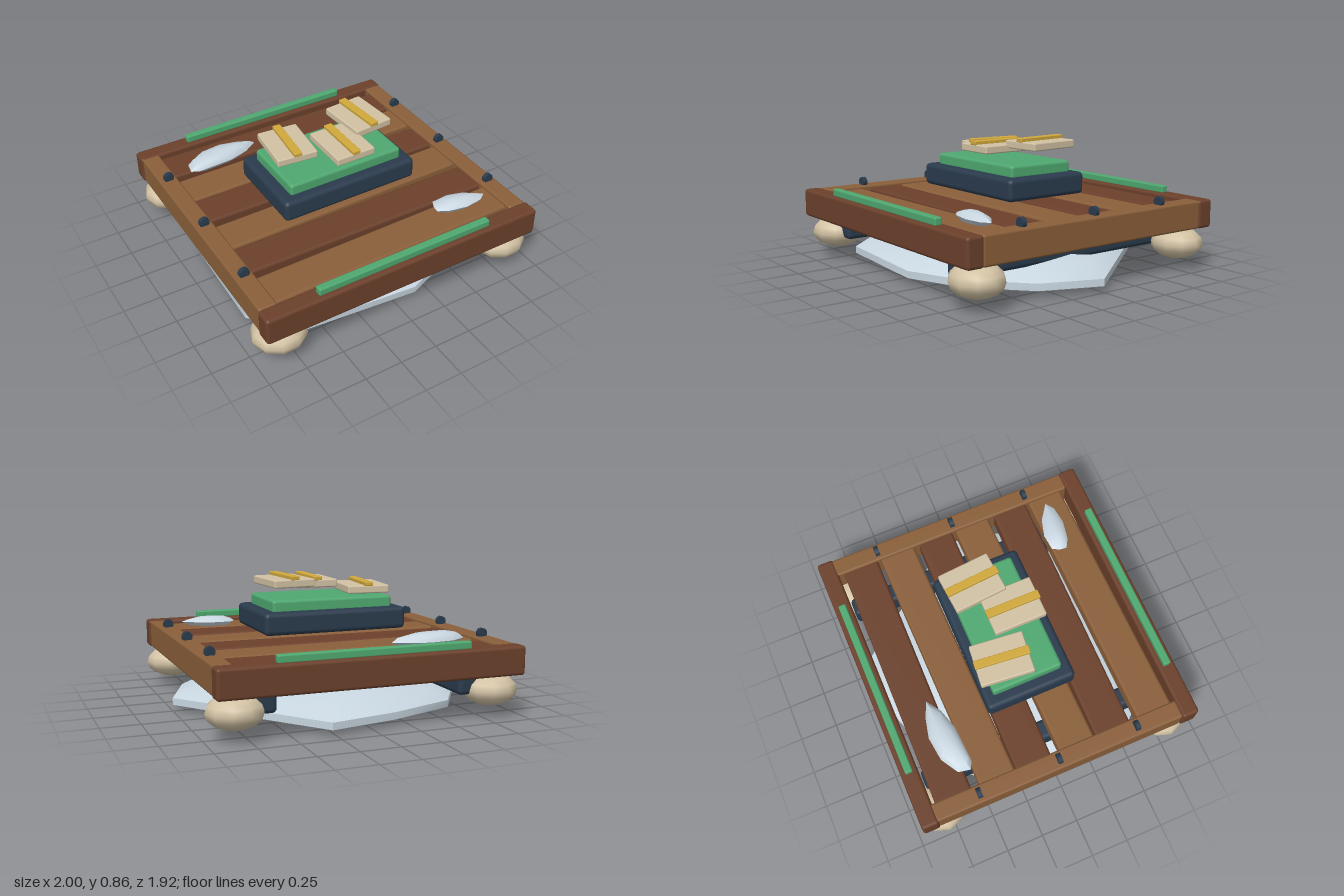
import * as THREE from 'three';
import { RoundedBoxGeometry } from 'three/addons/geometries/RoundedBoxGeometry.js';
import { toCreasedNormals } from 'three/addons/utils/BufferGeometryUtils.js';

const paint = (color) => new THREE.MeshStandardMaterial({ color });
const darkWood = paint(0x6b402b), lightWood = paint(0x8a5f3a), navy = paint(0x2a3b4d);
const green = paint(0x4fa870), cream = paint(0xd2c2a4), gold = paint(0xd0a83c), ice = paint(0xc8d6e0);

export function createModel() {
  const model = new THREE.Group();

  const add = (name, geometry, material, x = 0, y = 0, z = 0, parent = model) => {
    const mesh = new THREE.Mesh(geometry, material);
    mesh.name = name;
    mesh.position.set(x, y, z);
    parent.add(mesh);
    return mesh;
  };

  // Softened box given by its size, vertical span and centre
  const box = (name, material, w, d, y0, y1, x, z, r = 0.015, parent = model) =>
    add(name, new RoundedBoxGeometry(w, y1 - y0, d, 2, r), material, x, (y0 + y1) / 2, z, parent);

  // Outline [x, z] stacked in rings of [scale, y], from bottom centre to top centre
  const stacked = (name, outline, rings) => {
    const n = outline.length;
    const cx = outline.reduce((s, p) => s + p[0], 0) / n;
    const cz = outline.reduce((s, p) => s + p[1], 0) / n;
    const positions = [], index = [];
    for (const [s, y] of rings)
      for (const [x, z] of outline) positions.push(cx + (x - cx) * s, y, cz + (z - cz) * s);
    for (let i = 0; i < rings.length - 1; i++)
      for (let j = 0; j < n; j++) {
        const a = i * n + j, b = i * n + (j + 1) % n;
        if (rings[i][0] > 0) index.push(a, b, b + n);
        if (rings[i + 1][0] > 0) index.push(a, b + n, a + n);
      }
    const g = new THREE.BufferGeometry();
    g.setAttribute('position', new THREE.Float32BufferAttribute(positions, 3));
    g.setIndex(index);
    return add(name, toCreasedNormals(g, 0.7), ice);
  };

  // Frame beams, green rails, runners, feet and pegs
  const foot = new THREE.SphereGeometry(1, 10, 8);
  const peg = new THREE.CylinderGeometry(0.034, 0.034, 0.03, 10).rotateX(Math.PI / 2);
  for (const s of [-1, 1]) {
    box('endBeam', darkWood, 1.95, 0.115, 0.27, 0.455, -0.005, s * 0.905, 0.02);
    box('endRail', green, 1.23, 0.05, 0.45, 0.5, -0.005, s * 0.905, 0.01);
    box('sideBeam', lightWood, 0.12, 1.71, 0.27, 0.453, s * 0.905 - 0.005, -0.005, 0.015);
    box('runner', navy, 0.13, 1.68, 0.145, 0.31, s * 0.65 - 0.005, 0, 0.03);
    for (const t of [-1, 1])
      add('foot', foot, cream, s * 0.823, 0.17, t * 0.798).scale.set(0.177, 0.105, 0.165);
    for (const z of [-0.55, 0, 0.545]) add('peg', peg, navy, s * 0.903 - 0.005, 0.473, z);
  }

  // Deck planks, laid slightly uneven
  [-0.697, -0.413, -0.147, 0.14, 0.41, 0.692].forEach((z, i) => {
    const plank = box('plank', i % 2 ? lightWood : darkWood, 1.72, 0.245, 0.31, 0.435, -0.005, z, 0.02);
    plank.rotation.y = i % 2 ? 0.01 : -0.01;
  });

  // Case with cushion
  box('case', navy, 0.96, 0.6, 0.492, 0.635, -0.005, 0, 0.03);
  box('cushion', green, 0.815, 0.47, 0.62, 0.706, -0.003, -0.003, 0.02);

  // Strapped packets: x, z, base height, turn
  for (const [x, z, y, turn] of [[-0.245, -0.11, 0.73, -0.1], [0.045, 0.09, 0.757, 0], [0.28, -0.09, 0.785, 0.08]]) {
    const packet = new THREE.Group();
    packet.name = 'packet';
    packet.position.set(x, y, z);
    packet.rotation.y = turn;
    model.add(packet);
    box('parcel', cream, 0.275, 0.35, 0, 0.052, 0, 0, 0.01, packet);
    box('strap', gold, 0.055, 0.362, 0.048, 0.074, 0, 0, 0.005, packet);
  }

  // Ice slab underneath, a shallow dish below and a dome above
  stacked('iceSlab', [
    [1.0, 0], [0.28, -0.93], [-0.16, -0.84], [-0.6, -0.68], [-0.87, -0.26],
    [-0.89, 0.48], [-0.64, 0.76], [0.14, 0.83], [0.52, 0.68], [0.85, 0.38],
  ], [[0, 0], [0.6, 0.008], [0.96, 0.025], [1, 0.04], [1, 0.085], [0.86, 0.145], [0.63, 0.205], [0.36, 0.243], [0, 0.252]]);

  // Ice chips lying on the deck
  const chip = (outline, top) => stacked('iceChip', outline,
    [[0, 0.435], [0.75, 0.437], [1, 0.465], [0.85, top - 0.022], [0.5, top - 0.004], [0, top]]);
  chip([[-0.75, -0.54], [-0.7, -0.515], [-0.45, -0.53], [-0.32, -0.57], [-0.225, -0.635],
    [-0.33, -0.68], [-0.46, -0.71], [-0.62, -0.69], [-0.735, -0.62]], 0.516);
  chip([[0.41, 0.655], [0.47, 0.69], [0.6, 0.715], [0.72, 0.7], [0.775, 0.66],
    [0.67, 0.585], [0.55, 0.55], [0.44, 0.56], [0.415, 0.61]], 0.5);

  return model;
}
